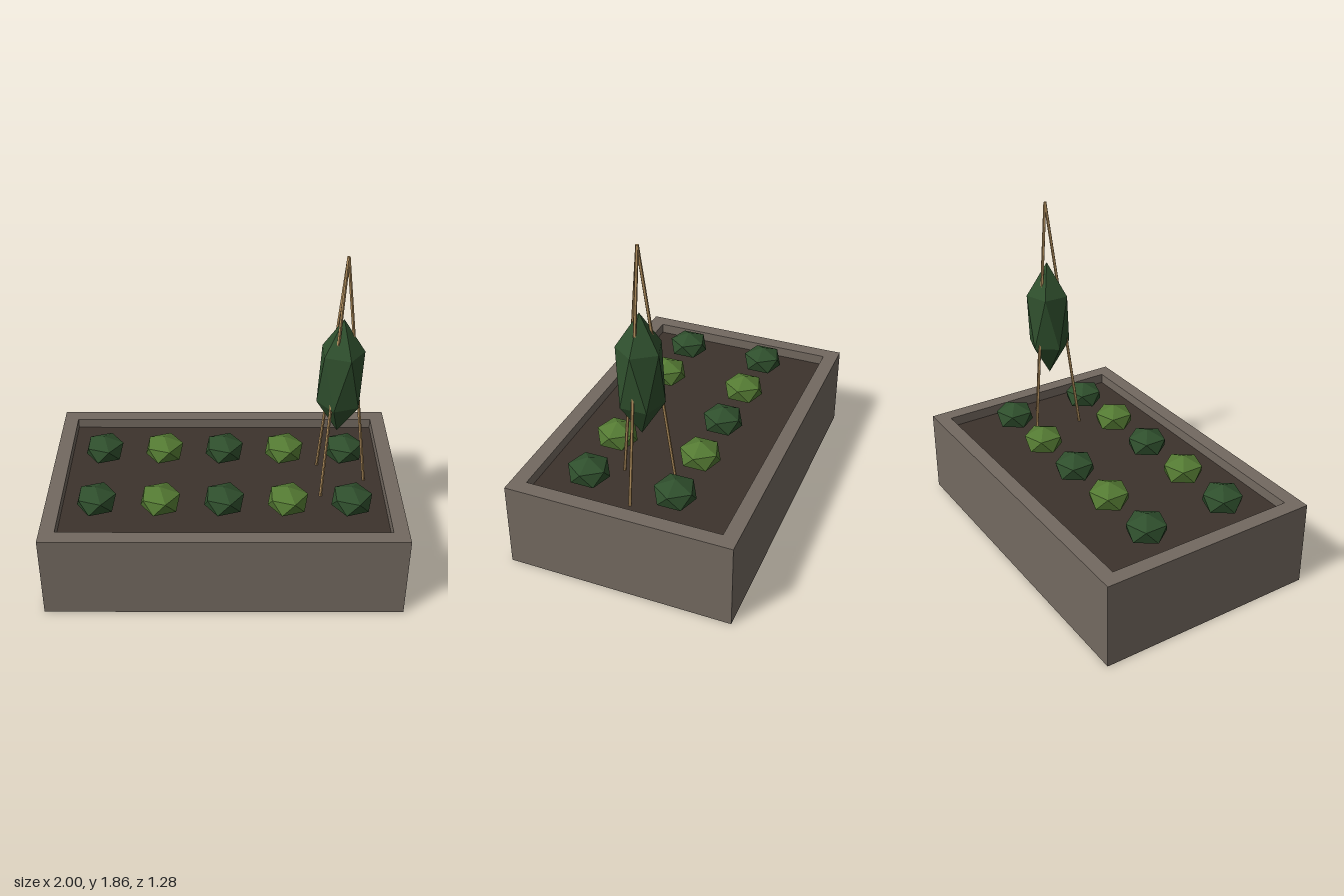
import * as THREE from 'three';

const mat = (name, color) => {
  const m = new THREE.MeshStandardMaterial({ color, flatShading: true });
  m.name = name;
  return m;
};

export function createModel() {
  const group = new THREE.Group();
  group.name = 'raisedGardenBed';
  const stone = mat('greyBrown', 0x736960);
  const earth = mat('darkSoil', 0x3d332c);
  const dark = mat('darkGreen', 0x2f4f2d);
  const light = mat('lightGreen', 0x547a33);
  const wood = mat('caneWood', 0xb08d5c);

  const add = (name, geometry, material, x = 0, y = 0, z = 0) => {
    const mesh = new THREE.Mesh(geometry, material);
    mesh.name = name;
    mesh.position.set(x, y, z);
    group.add(mesh);
    return mesh;
  };

  // Frame: a rectangle with a rectangular hole, raised to rim height
  const rect = (Type, w, d) => new Type([
    new THREE.Vector2(-w, -d), new THREE.Vector2(w, -d),
    new THREE.Vector2(w, d), new THREE.Vector2(-w, d),
  ]);
  const outline = rect(THREE.Shape, 1, 0.64);
  outline.holes.push(rect(THREE.Path, 0.915, 0.555));
  const frame = new THREE.ExtrudeGeometry(outline, { depth: 0.5, bevelEnabled: false });
  frame.rotateX(-Math.PI / 2);
  add('bedFrame', frame, stone);

  // Soil filling, a little below the rim
  add('soil', new THREE.BoxGeometry(1.83, 0.44, 1.11), earth, 0, 0.22, 0);

  // Faceted foliage: an icosahedron standing on one corner
  const foliage = (radius, halfHeight) => {
    const g = new THREE.IcosahedronGeometry(1, 0);
    g.rotateZ(-Math.atan(2 / (1 + Math.sqrt(5))));
    return g.scale(radius, halfHeight, radius);
  };

  // Two rows of low plants in alternating greens
  const plant = foliage(0.125, 0.085);
  for (const z of [-0.215, 0.285]) {
    for (let i = 0; i < 5; i++) {
      add('lowPlant', plant, i % 2 ? light : dark, (i - 2) * 0.357, 0.517, z);
    }
  }

  // Climbing plant
  add('climbingPlant', foliage(0.14, 0.355), dark, 0.64, 1.145, 0);

  // Three canes meeting at the top
  const top = new THREE.Vector3(0.64, 1.86, 0);
  const up = new THREE.Vector3(0, 1, 0);
  for (let i = 0; i < 3; i++) {
    const a = (i * Math.PI * 2) / 3;
    const foot = new THREE.Vector3(0.64 + 0.18 * Math.cos(a), 0.41, 0.18 * Math.sin(a));
    const span = top.clone().sub(foot);
    const cane = add('supportCane', new THREE.CylinderGeometry(0.009, 0.009, span.length(), 5), wood);
    cane.position.copy(foot).addScaledVector(span, 0.5);
    cane.quaternion.setFromUnitVectors(up, span.normalize());
  }
  return group;
}
